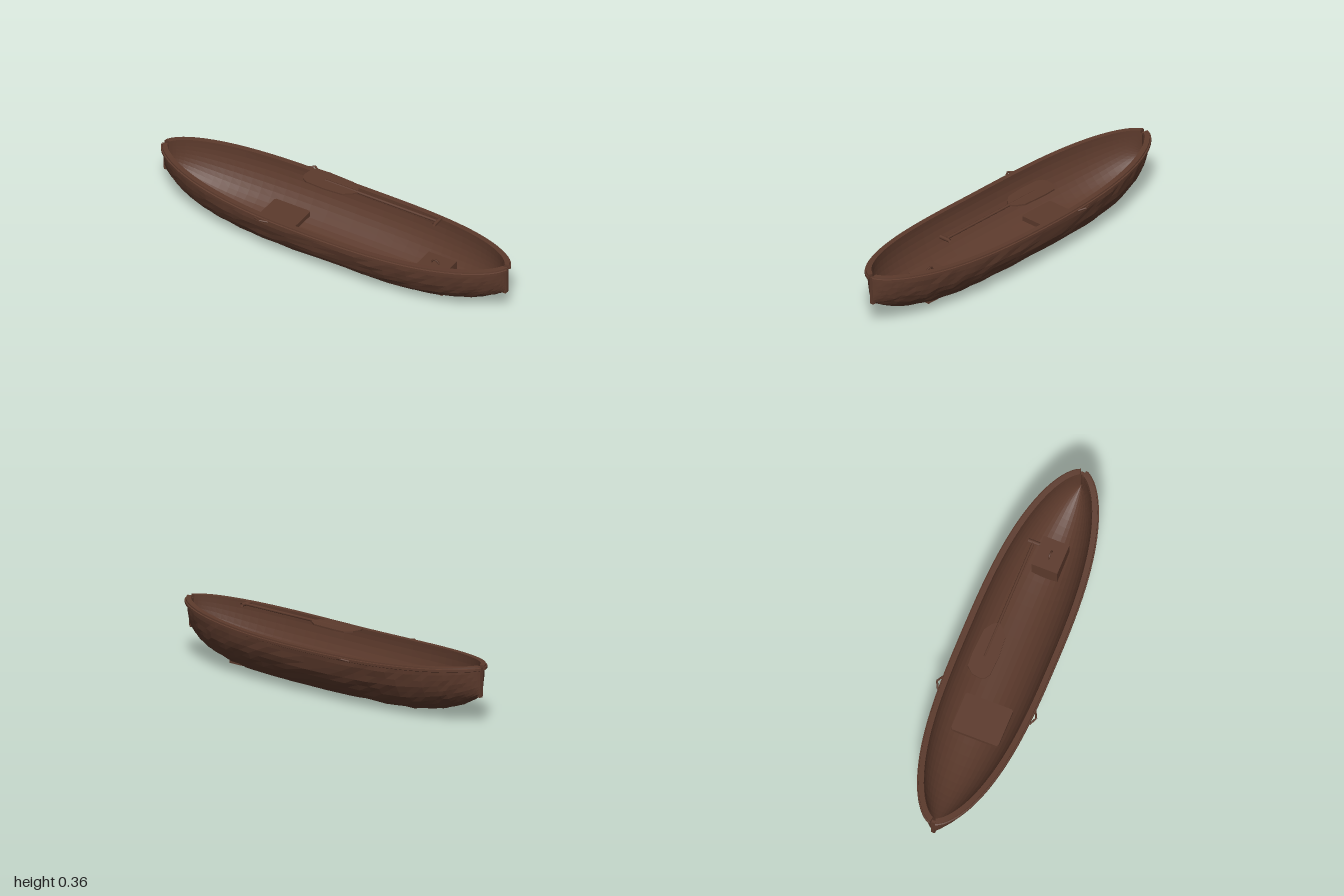
import * as THREE from 'three';

const wood = new THREE.MeshStandardMaterial({ color: 0x5c3a2c, side: THREE.DoubleSide });
wood.name = 'dark brown wood';

function mesh(name, geometry, x = 0, y = 0, z = 0) {
  const m = new THREE.Mesh(geometry, wood);
  m.name = name;
  m.position.set(x, y, z);
  return m;
}

// Grid surface from a rule point(i, j); flat gives one normal per face
function surface(point, nu, nv, flat) {
  const pos = [], index = [];
  for (let i = 0; i <= nu; i++) {
    for (let j = 0; j <= nv; j++) {
      pos.push(...point(i, j));
      if (i < nu && j < nv) {
        const a = i * (nv + 1) + j, b = a + nv + 1;
        index.push(a, a + 1, b, b, a + 1, b + 1);
      }
    }
  }
  let g = new THREE.BufferGeometry();
  g.setAttribute('position', new THREE.Float32BufferAttribute(pos, 3));
  g.setIndex(index);
  if (flat) g = g.toNonIndexed();
  g.computeVertexNormals();
  return g;
}

// Plan outline of the boat (t from 0 at one tip to PI at the other), sheer and keel lines
const LEN = 0.985, HALF = 0.235;
function outline(t) {
  const c = Math.cos(t), s = Math.max(0, Math.sin(t));
  return [-LEN * Math.sign(c) * Math.pow(Math.abs(c), 0.714), HALF * Math.pow(s, 1.2)];
}
const sheer = x => 0.266 + 0.042 * x * x;
const keel = x => 0.008 + 0.15 * Math.pow(Math.abs(x) / LEN, 4.5);
const noise = (i, j) => {
  const n = Math.sin(i * 12.9898 + j * 78.233) * 43758.5453;
  return (n - Math.floor(n)) * 2 - 1;
};

// Half-elliptic shell, inset for the inside, roughened for the hewn outside
function shell(inset, rough, nu, nv) {
  return surface((i, j) => {
    const [x, w0] = outline(Math.PI * i / nu);
    const a = Math.PI * j / nv;
    const top = sheer(x) - 0.012;
    const inner = j > 0 && j < nv && i > 0 && i < nu;
    const r = 1 + (inner ? rough * noise(i, j) : 0);
    const w = Math.max(0, w0 - inset);
    const depth = top - keel(x) - inset;
    return [x * (1 - inset), top - depth * Math.sin(a) * r, w * Math.cos(a) * r];
  }, nu, nv, true);
}

// Rail swept along one side of the rim, closed at both ends
function railGeometry() {
  const section = [[-0.02, 0], [0.006, 0], [0.007, -0.007], [0.013, -0.009],
    [0.013, -0.021], [0.004, -0.025], [-0.02, -0.022], [-0.02, 0]];
  const n = 56, t0 = 0.08;
  return surface((i, j) => {
    const k = Math.min(Math.max(i, 1), n - 1) - 1;
    const t = t0 + (Math.PI - 2 * t0) * k / (n - 2);
    const [x, z] = outline(t);
    const [xa, za] = outline(t - 0.01), [xb, zb] = outline(t + 0.01);
    const l = Math.hypot(xb - xa, zb - za);
    const [o, y] = i === 0 || i === n ? [0, -0.012] : section[j];
    return [x - (zb - za) / l * o, sheer(x) + y, Math.max(0.009, z + (xb - xa) / l * o)];
  }, n, section.length - 1, true);
}

function slab(points, thick) {
  const shape = new THREE.Shape(points.map(p => new THREE.Vector2(p[0], -p[1])));
  const g = new THREE.ExtrudeGeometry(shape, { depth: thick, bevelEnabled: false });
  return g.rotateX(-Math.PI / 2);
}

function rod(name, a, b, r) {
  const path = new THREE.LineCurve3(new THREE.Vector3(...a), new THREE.Vector3(...b));
  return mesh(name, new THREE.TubeGeometry(path, 1, r, 8));
}

export function createModel() {
  const boat = new THREE.Group();
  boat.name = 'canoe';

  boat.add(mesh('hullOutside', shell(0, 0.016, 44, 22)));
  boat.add(mesh('hullInside', shell(0.018, 0, 44, 22)));

  // Rim rails and lashing eyes, mirrored across the length
  const rail = railGeometry();
  for (const side of [1, -1]) {
    const half = new THREE.Group();
    half.name = side > 0 ? 'frontRim' : 'backRim';
    half.add(mesh('rail', rail));
    for (const dx of [-0.038, 0.038]) {
      half.add(rod('lashingEye', [-0.28 + dx, 0.252, 0.242], [-0.28, 0.26, 0.262], 0.005));
    }
    half.scale.z = side;
    boat.add(half);
  }

  // Stem posts at both tips
  for (const end of [1, -1]) {
    boat.add(mesh('stemPost', new THREE.BoxGeometry(0.014, 0.14, 0.018), end * 0.978, 0.222, 0));
    boat.add(mesh('stemFoot', new THREE.BoxGeometry(0.02, 0.018, 0.02), end * 0.972, 0.154, 0));
  }

  // Low seat with clipped corners
  const c = 0.008;
  boat.add(mesh('seat', slab([[-0.43 + c, -0.13], [-0.225 - c, -0.13], [-0.225, -0.13 + c],
    [-0.225, 0.12 - c], [-0.225 - c, 0.12], [-0.43 + c, 0.12], [-0.43, 0.12 - c],
    [-0.43, -0.13 + c]], 0.025), 0, 0.067, 0));

  // Storage box with a small loop handle
  boat.add(mesh('storageBox', new THREE.BoxGeometry(0.16, 0.125, 0.135), 0.57, 0.0975, -0.005));
  boat.add(mesh('boxHandle', new THREE.TorusGeometry(0.02, 0.005, 6, 12, Math.PI), 0.568, 0.16, -0.005));

  // Paddle above the hull
  const paddle = new THREE.Group();
  paddle.name = 'paddle';
  paddle.add(mesh('blade', slab([[-0.222, -0.06], [-0.215, -0.105], [-0.185, -0.138],
    [-0.12, -0.142], [0.02, -0.135], [0.06, -0.11], [0.082, -0.08], [0.06, -0.05],
    [0.02, -0.022], [-0.08, -0.014], [-0.185, -0.018], [-0.212, -0.035]], 0.008), 0, 0.352, 0));
  paddle.add(rod('shaft', [-0.11, 0.356, -0.08], [0.535, 0.356, -0.08], 0.007));
  paddle.add(rod('grip', [0.535, 0.356, -0.108], [0.535, 0.356, -0.046], 0.01));
  boat.add(paddle);

  return boat;
}
